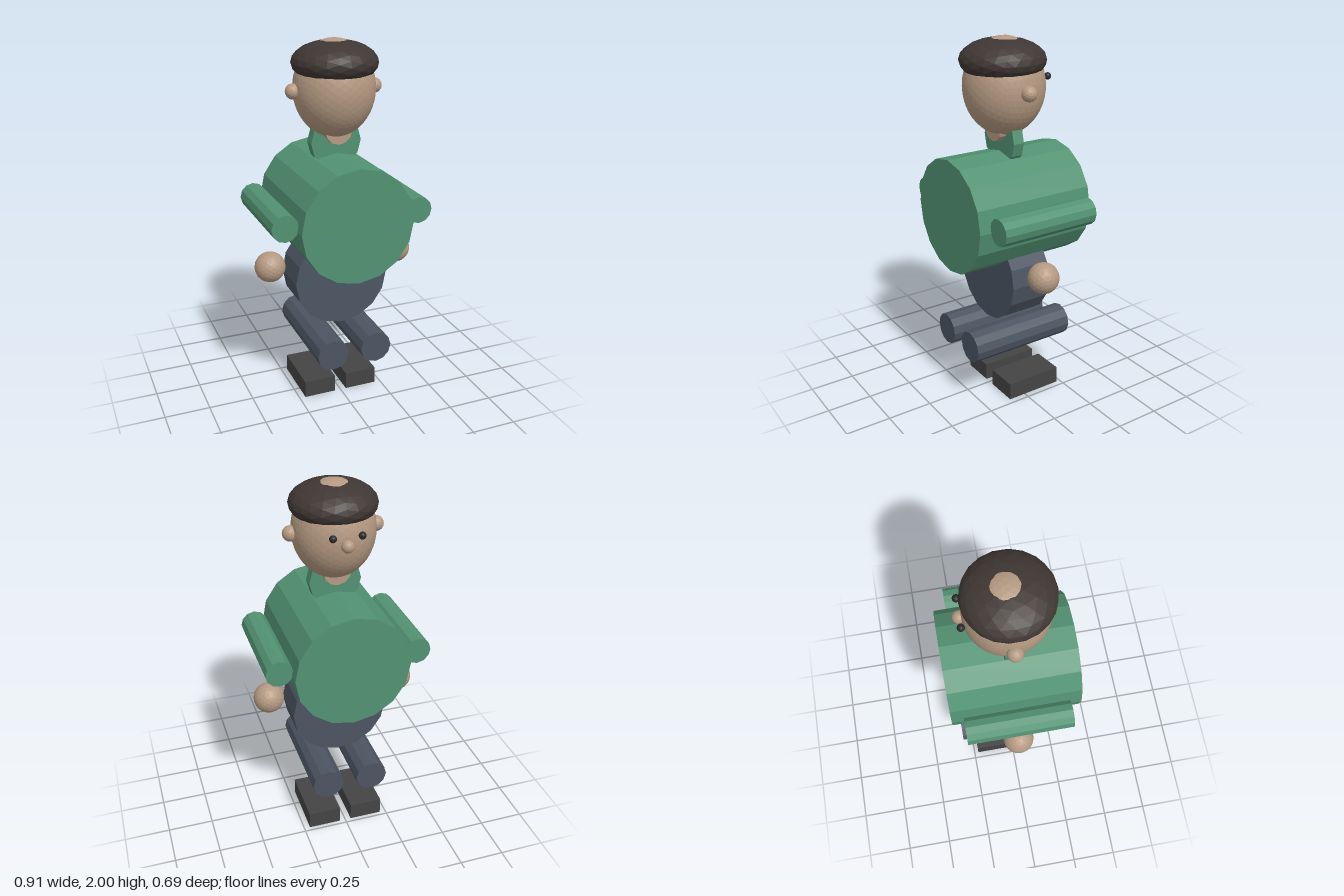
import * as THREE from 'three';

const material = (color) => new THREE.MeshStandardMaterial({ color, flatShading: true });

export function createModel() {
  const model = new THREE.Group();
  model.name = 'figure';

  const skin = material(0xb59a82);
  const green = material(0x529272);
  const trousers = material(0x4c5562);
  const hairDark = material(0x3f3733);
  const shoe = material(0x444444);
  const eyeDark = material(0x2a2a2a);

  function add(name, geometry, mat, x, y, z) {
    const mesh = new THREE.Mesh(geometry, mat);
    mesh.name = name;
    mesh.position.set(x, y, z);
    model.add(mesh);
    return mesh;
  }

  // Faceted cylinder lying along z, with a corner at the top
  const drum = (name, mat, r, length, sides, x, y, z = 0) =>
    add(name, new THREE.CylinderGeometry(r, r, length, sides).rotateX(Math.PI / 2), mat, x, y, z);

  // Faceted ball, optionally stretched in height
  const ball = (name, mat, r, detail, x, y, z, ry = r) =>
    add(name, new THREE.IcosahedronGeometry(1, detail).scale(r, ry, r), mat, x, y, z);

  // Body
  drum('torso', green, 0.31, 0.69, 16, 0, 1.095);
  drum('hips', trousers, 0.265, 0.23, 16, 0, 0.717);
  drum('collar', green, 0.14, 0.062, 12, 0, 1.467);
  drum('neck', skin, 0.075, 0.143, 12, 0, 1.535);

  // Head, cap of hair and nose
  ball('head', skin, 0.216, 7, 0, 1.745, 0, 0.255);
  ball('hair', hairDark, 0.226, 3, 0, 1.88, 0.008, 0.113);
  ball('nose', skin, 0.033, 2, 0, 1.735, -0.224);

  // Paired parts
  for (const [side, s] of [['left', 1], ['right', -1]]) {
    ball(`${side}Ear`, skin, 0.041, 2, s * 0.225, 1.743, 0);
    ball(`${side}Eye`, eyeDark, 0.019, 2, s * 0.074, 1.782, -0.223);
    drum(`${side}Arm`, green, 0.0725, 0.56, 12, s * 0.373, 1.118);
    ball(`${side}Hand`, skin, 0.084, 3, s * 0.373, 0.8, 0);
    drum(`${side}Leg`, trousers, 0.0875, 0.61, 12, s * 0.125, 0.362);
    add(`${side}Shoe`, new THREE.BoxGeometry(0.183, 0.097, 0.327), shoe, s * 0.125, 0.0485, -0.063);
  }

  return model;
}
